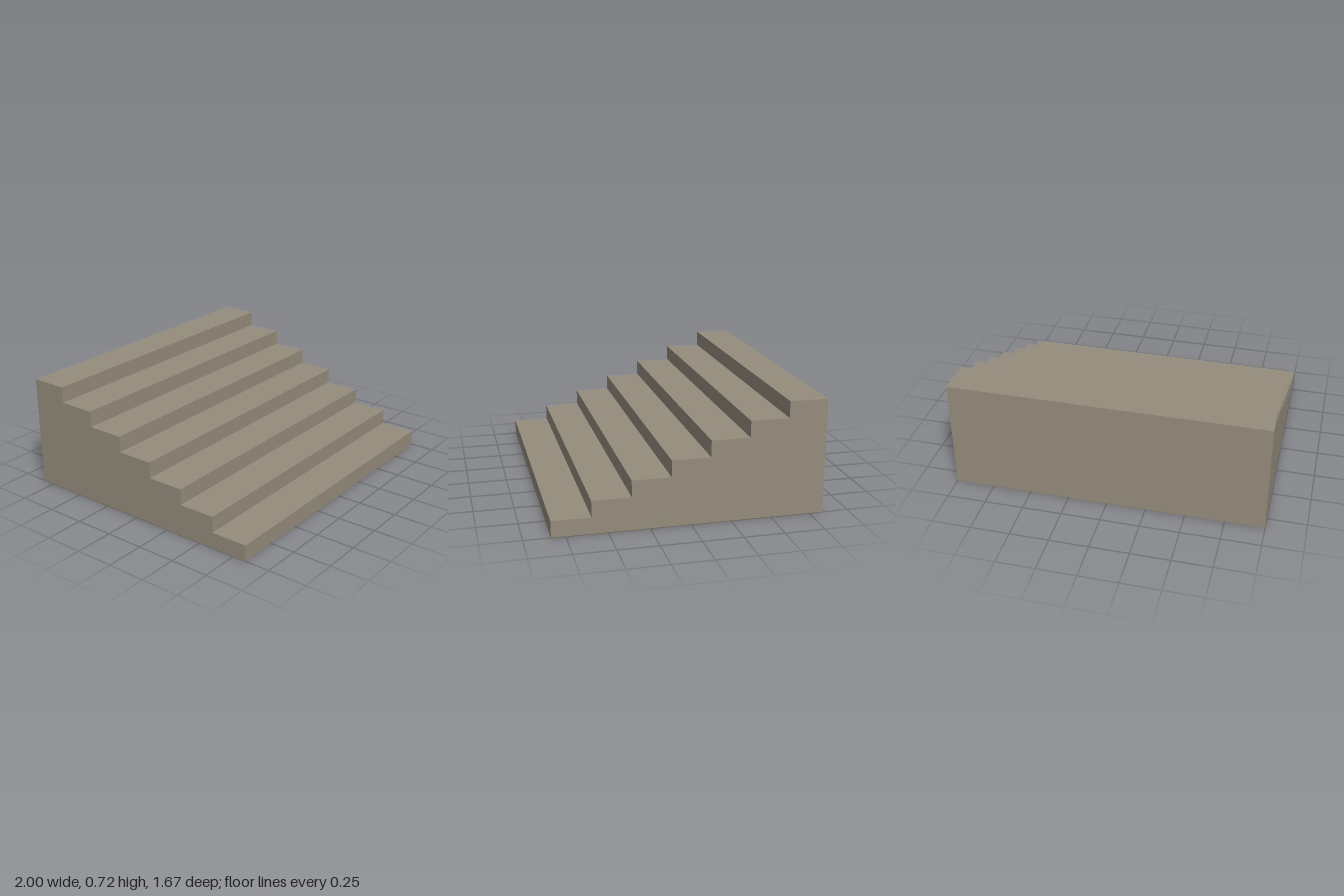
import * as THREE from 'three';

const STEPS = 7;
const WIDTH = 2;
const HEIGHT = 0.723;
const DEPTH = 1.674;

export function createModel() {
  const group = new THREE.Group();
  group.name = 'staircase';

  const stone = new THREE.MeshStandardMaterial({ color: 0x958c7c });
  stone.name = 'warm grey stone';

  // Stepped side profile: x is depth (front positive), y is height
  const rise = HEIGHT / STEPS;
  const tread = DEPTH / STEPS;
  const profile = new THREE.Shape();
  profile.moveTo(-DEPTH / 2, 0);
  profile.lineTo(DEPTH / 2, 0);
  for (let i = 0; i < STEPS; i++) {
    const front = DEPTH / 2 - i * tread;
    profile.lineTo(front, (i + 1) * rise);
    profile.lineTo(front - tread, (i + 1) * rise);
  }
  profile.closePath();

  // Solid flight of steps, swept across the full width
  const geometry = new THREE.ExtrudeGeometry(profile, { depth: WIDTH, bevelEnabled: false });
  geometry.translate(0, 0, -WIDTH / 2);
  geometry.rotateY(-Math.PI / 2);

  const steps = new THREE.Mesh(geometry, stone);
  steps.name = 'steps';
  group.add(steps);
  return group;
}
